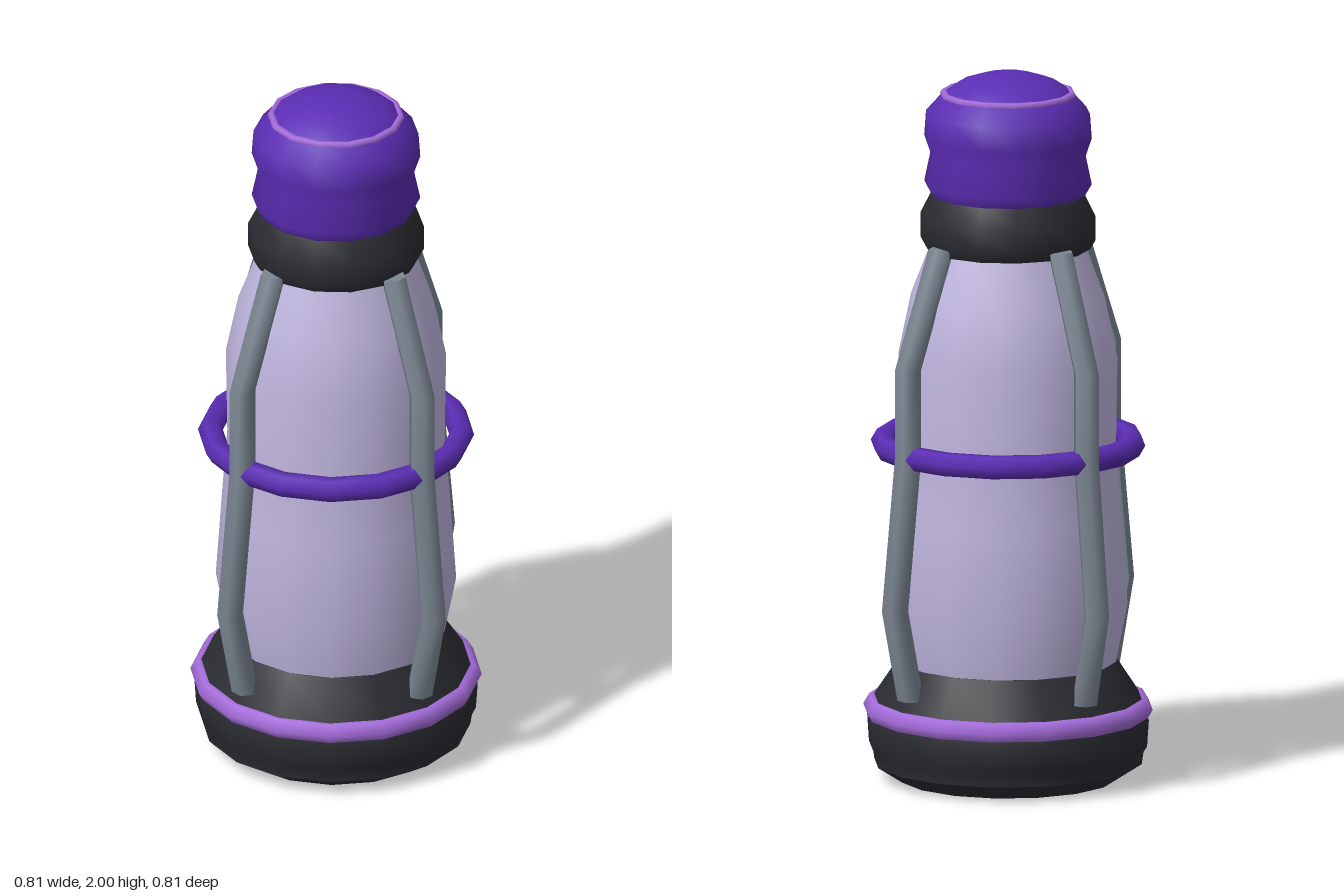
import * as THREE from 'three';
import { toCreasedNormals } from 'three/addons/utils/BufferGeometryUtils.js';

function makeMaterial(name, color) {
  const m = new THREE.MeshStandardMaterial({ color });
  m.name = name;
  return m;
}

export function createModel() {
  const black = makeMaterial('black', 0x2b2c32);
  const purple = makeMaterial('purple', 0x5b2db4);
  const lilac = makeMaterial('lilac', 0xa56cdb);
  const glass = makeMaterial('pale lavender', 0xbfb5de);
  const steel = makeMaterial('steel grey', 0x7c8793);

  const model = new THREE.Group();
  model.name = 'lantern';

  function add(name, geometry, material, parent = model) {
    const mesh = new THREE.Mesh(geometry, material);
    mesh.name = name;
    parent.add(mesh);
    return mesh;
  }

  // Turned part from [radius, height] pairs, bottom to top, with a corner on +x
  function turned(name, profile, sides, material) {
    const points = profile.map(([r, y]) => new THREE.Vector2(r, y));
    const geometry = new THREE.LatheGeometry(points, sides).rotateY(Math.PI / 2);
    return add(name, toCreasedNormals(geometry, 0.85), material);
  }

  // Horizontal hoop
  function hoop(name, radius, tube, y, sides, material) {
    const geometry = new THREE.TorusGeometry(radius, tube, 6, sides).rotateX(Math.PI / 2);
    return add(name, geometry.translate(0, y, 0), material);
  }

  // Base with trim
  turned('base', [
    [0, 0], [0.305, 0], [0.375, 0.045], [0.38, 0.08], [0.39, 0.095], [0.395, 0.17],
    [0.375, 0.23], [0.305, 0.335], [0, 0.335],
  ], 16, black);
  hoop('baseTrim', 0.372, 0.034, 0.2, 16, lilac);

  // Glass body
  turned('glassBody', [
    [0.3, 0.32], [0.335, 0.5], [0.318, 0.75], [0.303, 0.95], [0.307, 1.2],
    [0.272, 1.37], [0.21, 1.53],
  ], 16, glass);

  // Collar and cap
  turned('collar', [
    [0, 1.505], [0.23, 1.505], [0.245, 1.53], [0.245, 1.6], [0.215, 1.66], [0, 1.66],
  ], 14, black);
  turned('cap', [
    [0, 1.65], [0.215, 1.655], [0.235, 1.69], [0.218, 1.77], [0.235, 1.82],
    [0.23, 1.89], [0.185, 1.94], [0.135, 1.975], [0.07, 1.996], [0, 2],
  ], 14, purple);
  hoop('capTrim', 0.18, 0.011, 1.94, 14, lilac);

  // Guard hoop and four bent bars
  hoop('guardHoop', 0.35, 0.035, 0.95, 16, purple);
  const path = [[0.345, 0.26], [0.4, 0.52], [0.354, 0.95], [0.354, 1.2], [0.235, 1.53]];
  const bar = new THREE.CylinderGeometry(0.037, 0.037, 1, 6, path.length - 1);
  const pos = bar.attributes.position;
  for (let i = 0; i < pos.count; i++) {
    const [r, y] = path[Math.round((pos.getY(i) + 0.5) * (path.length - 1))];
    pos.setX(i, pos.getX(i) + r);
    pos.setY(i, y);
  }
  bar.computeVertexNormals();
  const guardBars = new THREE.Group();
  guardBars.name = 'guardBars';
  model.add(guardBars);
  for (let i = 0; i < 4; i++) {
    add('guardBar', bar, steel, guardBars).rotation.y = Math.PI / 4 + (i * Math.PI) / 2;
  }

  return model;
}
